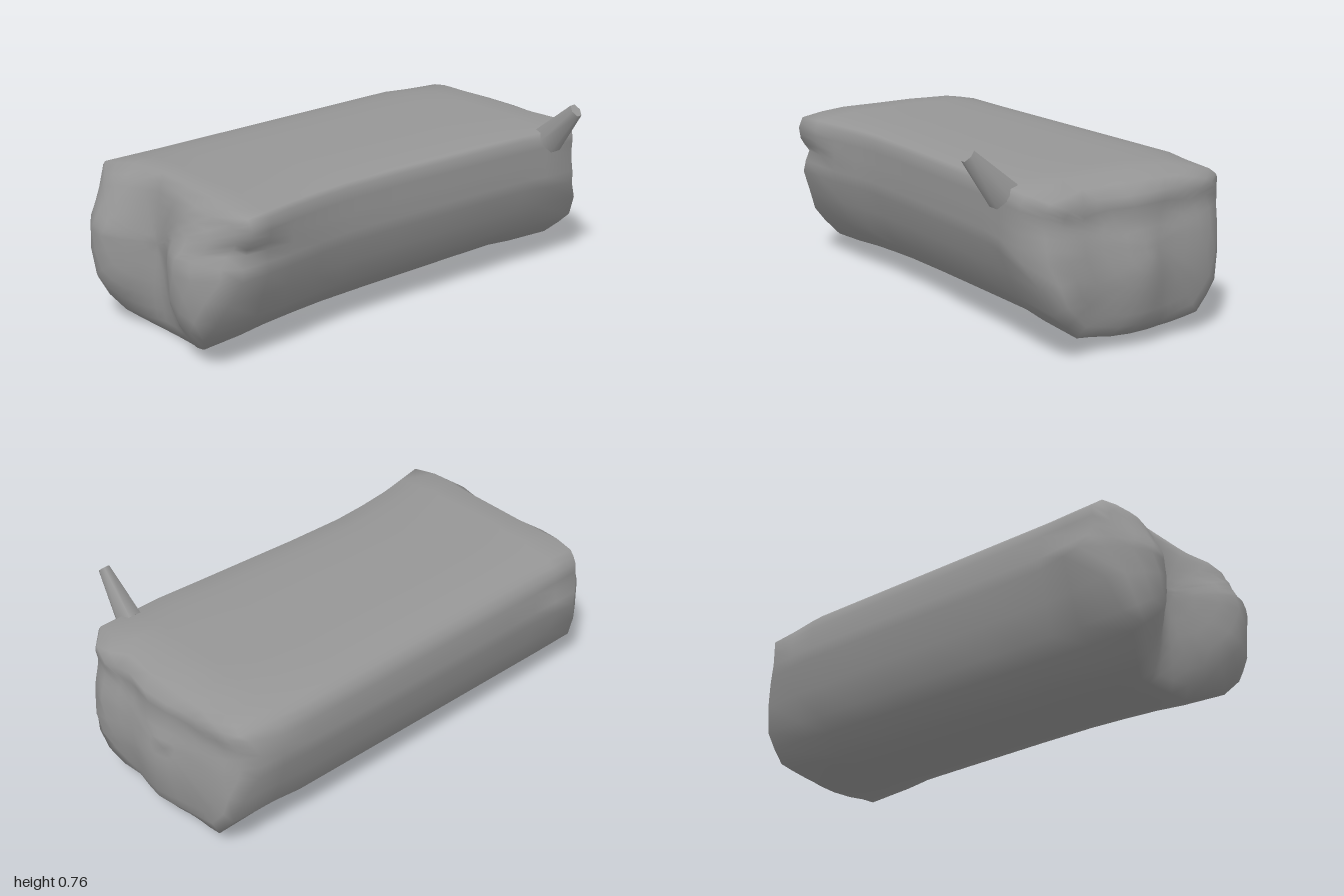
import * as THREE from 'three';

// Smooth curve through [t, value] pairs
function lookup(pairs, t) {
  const last = pairs.length - 1;
  if (t <= pairs[0][0]) return pairs[0][1];
  if (t >= pairs[last][0]) return pairs[last][1];
  const slope = (i) => {
    const [a, b] = [pairs[Math.max(i - 1, 0)], pairs[Math.min(i + 1, last)]];
    return (b[1] - a[1]) / (b[0] - a[0]);
  };
  const i = pairs.findIndex((p) => p[0] > t) - 1;
  const [t0, v0] = pairs[i], [t1, v1] = pairs[i + 1];
  const w = t1 - t0, u = (t - t0) / w, u2 = u * u, u3 = u2 * u;
  return v0 + (v1 - v0) * (3 * u2 - 2 * u3)
    + slope(i) * w * (u3 - 2 * u2 + u) + slope(i + 1) * w * (u3 - u2);
}

const CX = -0.13, CY = 0.38;
const BACK_Z = -0.82, FRONT_Z = 0.82;

// Matching cross-sections, anticlockwise seen from the front
const FRONT_SECTION = [
  [-0.23, 0], [-0.13, 0.003], [0.04, 0.008], [0.2, 0.065], [0.305, 0.19], [0.39, 0.38], [0.375, 0.475],
  [0.41, 0.53], [0.42, 0.58], [0.4, 0.622], [0.2, 0.648], [-0.13, 0.655], [-0.32, 0.65],
  [-0.48, 0.62], [-0.525, 0.58], [-0.525, 0.5], [-0.56, 0.41], [-0.46, 0.155], [-0.34, 0.045],
];
const BODY_SECTION = [
  [-0.23, 0.022], [-0.13, 0.022], [0.04, 0.024], [0.2, 0.085], [0.32, 0.19], [0.395, 0.38], [0.4, 0.47],
  [0.4, 0.53], [0.4, 0.58], [0.385, 0.62], [0.2, 0.645], [-0.13, 0.65], [-0.32, 0.647],
  [-0.47, 0.622], [-0.52, 0.58], [-0.53, 0.5], [-0.53, 0.4], [-0.46, 0.165], [-0.35, 0.058],
];
const BACK_SECTION = [
  [-0.24, 0.055], [-0.13, 0.05], [0.04, 0.05], [0.2, 0.075], [0.32, 0.185], [0.4, 0.37], [0.4, 0.47],
  [0.4, 0.53], [0.4, 0.575], [0.38, 0.61], [0.2, 0.64], [-0.13, 0.645], [-0.3, 0.638],
  [-0.44, 0.612], [-0.495, 0.57], [-0.52, 0.5], [-0.515, 0.4], [-0.45, 0.19], [-0.365, 0.078],
];

// Waist on the left flank along z
const WAIST = [[-0.82, 1], [-0.6, 0.97], [-0.2, 0.925], [0.3, 0.885], [0.6, 0.94], [0.82, 1]];

// End outlines seen from above, and how far they push out at each height
const FRONT = [[-0.56, 0.8], [-0.5, 0.89], [-0.44, 0.96], [-0.35, 1], [-0.27, 0.975], [-0.13, 0.86],
  [0, 0.905], [0.13, 0.99], [0.23, 0.995], [0.28, 0.96], [0.35, 0.88], [0.42, 0.83]];
const FRONT_PUSH = [[0, 0], [0.04, 0.3], [0.19, 0.88], [0.3, 1], [0.42, 0.98], [0.52, 0.68], [0.62, 0.33], [0.655, 0]];
const BACK = [[-0.52, -0.83], [-0.45, -0.92], [-0.2, -0.965], [-0.06, -1], [0.13, -0.965],
  [0.28, -0.985], [0.36, -0.94], [0.4, -0.88]];
const BACK_PUSH = [[0.05, 0.62], [0.08, 0.78], [0.27, 1], [0.4, 0.92], [0.5, 0.76], [0.575, 0.8],
  [0.62, 0.45], [0.645, 0]];

// The front also has a small dent under its upper left corner
const dent = (x, y) => 0.05 * Math.exp(-((x - 0.34) ** 2) / 0.003 - ((y - 0.47) ** 2) / 0.002);
const frontZ = (x, y) => FRONT_Z + (lookup(FRONT, x) - FRONT_Z) * lookup(FRONT_PUSH, y) - dent(x, y);
const backZ = (x, y) => BACK_Z + (lookup(BACK, x) - BACK_Z) * lookup(BACK_PUSH, y);

// Closed ring of [x, y] at a station, each side split in two
function sectionAt(z) {
  const end = z < 0 ? BACK_SECTION : FRONT_SECTION;
  const t = THREE.MathUtils.clamp((Math.abs(z) - 0.6) / 0.22, 0, 1);
  const waist = lookup(WAIST, z);
  const pts = BODY_SECTION.map(([bx, by], i) => {
    const x = bx + (end[i][0] - bx) * t;
    const sloped = by - 0.018 * z * (1 - by / 0.65); // underside rises to the back
    return [x > CX ? CX + (x - CX) * waist : x, sloped + (end[i][1] - sloped) * t];
  });
  return pts.flatMap((p, i) => {
    const q = pts[(i + 1) % pts.length];
    return [p, [(p[0] + q[0]) / 2, (p[1] + q[1]) / 2]];
  });
}

function buildLog() {
  const rings = [];
  const cap = (z, scales, depth) => {
    const base = sectionAt(z);
    for (const s of scales) {
      rings.push(base.map(([px, py]) => {
        const x = CX + (px - CX) * s, y = CY + (py - CY) * s;
        return [x, y, depth(x, y)];
      }));
    }
  };
  const steps = [0, 0.12, 0.26, 0.42, 0.58, 0.74, 0.88, 1];
  cap(BACK_Z, steps, backZ);
  for (const z of [-0.72, -0.6, -0.4, -0.2, 0.05, 0.3, 0.45, 0.6, 0.72]) {
    rings.push(sectionAt(z).map(([x, y]) => [x, y, z]));
  }
  cap(FRONT_Z, [...steps].reverse(), frontZ);

  const n = rings[0].length, index = [];
  for (let i = 0; i < rings.length - 1; i++) {
    for (let j = 0; j < n; j++) {
      const a = i * n + j, b = i * n + (j + 1) % n;
      index.push(a, b, b + n, a, b + n, a + n);
    }
  }
  const geo = new THREE.BufferGeometry();
  geo.setAttribute('position', new THREE.Float32BufferAttribute(rings.flat(2), 3));
  geo.setIndex(index);
  geo.computeVertexNormals();
  // The collapsed centre rings face straight out
  const normals = geo.attributes.normal;
  for (let j = 0; j < n; j++) {
    normals.setXYZ(j, 0, 0, -1);
    normals.setXYZ((rings.length - 1) * n + j, 0, 0, 1);
  }
  return geo;
}

export function createModel() {
  const model = new THREE.Group();
  const material = new THREE.MeshStandardMaterial({ color: 0x969696 });

  // Hewn log with a flat top and lumpy ends
  const log = new THREE.Mesh(buildLog(), material);
  log.name = 'log';
  model.add(log);

  // Tapered branch stub, flattened along the log
  const from = new THREE.Vector3(0.382, 0.582, -0.738);
  const to = new THREE.Vector3(0.53, 0.742, -0.735);
  const axis = to.clone().sub(from);
  const geo = new THREE.CylinderGeometry(0.031, 0.068, axis.length(), 6);
  geo.scale(1, 1, 0.75);
  const branch = new THREE.Mesh(geo, material);
  branch.name = 'branchStub';
  branch.position.copy(from).addScaledVector(axis, 0.5);
  branch.quaternion.setFromUnitVectors(new THREE.Vector3(0, 1, 0), axis.normalize());
  model.add(branch);

  return model;
}
